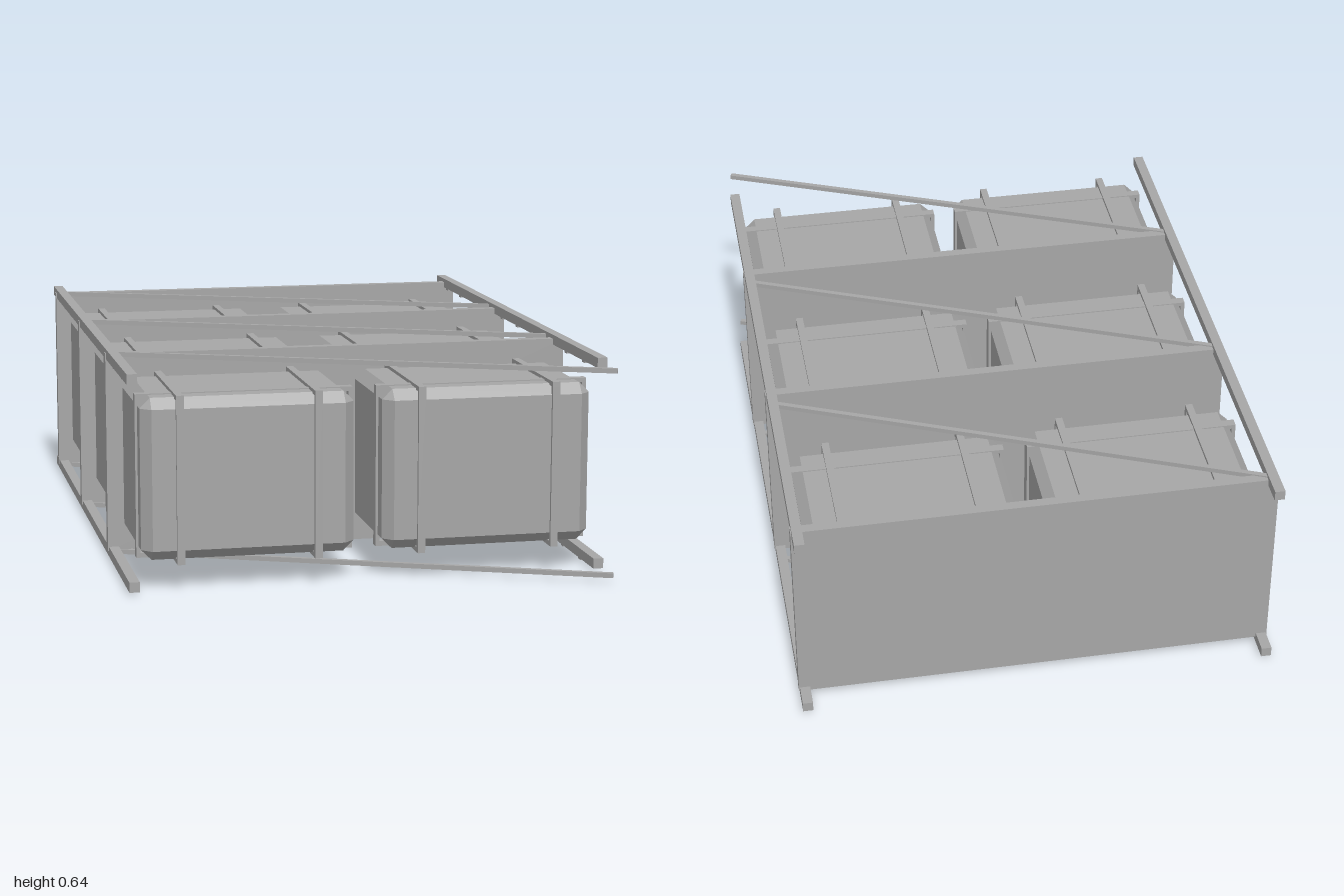
import * as THREE from 'three';
import { ConvexGeometry } from 'three/addons/geometries/ConvexGeometry.js';

const grey = new THREE.MeshStandardMaterial({ color: 0xa6a6a6 });
grey.name = 'grey metal';

// Box given by its minimum and maximum corners
function box(parent, name, [x0, x1], [y0, y1], [z0, z1]) {
  const mesh = new THREE.Mesh(new THREE.BoxGeometry(x1 - x0, y1 - y0, z1 - z0), grey);
  mesh.position.set((x0 + x1) / 2, (y0 + y1) / 2, (z0 + z1) / 2);
  mesh.name = name;
  parent.add(mesh);
  return mesh;
}

// Box with every edge cut by a flat chamfer
function chamferedBox(w, h, d, c) {
  const points = [];
  for (const x of [-1, 1]) for (const y of [-1, 1]) for (const z of [-1, 1]) {
    const [a, b, e] = [w / 2, h / 2, d / 2];
    points.push(
      new THREE.Vector3(x * a, y * (b - c), z * (e - c)),
      new THREE.Vector3(x * (a - c), y * b, z * (e - c)),
      new THREE.Vector3(x * (a - c), y * (b - c), z * e));
  }
  return new ConvexGeometry(points);
}

// Canister, local z = 0 at its supporting panel
function canister() {
  const g = new THREE.Group();
  g.name = 'canister';
  const body = new THREE.Mesh(chamferedBox(0.62, 0.47, 0.41, 0.03), grey);
  body.position.set(0, 0.325, 0.235);
  body.name = 'canisterBody';
  g.add(body);

  // Two strap loops running over the top, front, bottom and back
  for (const x of [-0.2, 0.2]) {
    const w = [x - 0.011, x + 0.011];
    box(g, 'strapTop', w, [0.555, 0.57], [0.025, 0.45]);
    box(g, 'strapBottom', w, [0.08, 0.095], [0.025, 0.45]);
    box(g, 'strapFront', w, [0.095, 0.555], [0.435, 0.45]);
    box(g, 'strapBack', w, [0.095, 0.555], [0.025, 0.04]);
    box(g, 'buckle', [x - 0.026, x + 0.026], [0.066, 0.084], [0.21, 0.31]);
  }

  // Cross strap loop around the sides
  const z = [0.335, 0.362];
  box(g, 'crossStrapTop', [-0.317, 0.317], [0.55, 0.563], z);
  box(g, 'crossStrapBottom', [-0.317, 0.317], [0.086, 0.1], z);
  for (const s of [-1, 1]) {
    const x = [s * 0.317, s * 0.305].sort((p, q) => p - q);
    box(g, 'crossStrapSide', x, [0.1, 0.55], z);
  }

  // Underside handle and plate
  const handle = new THREE.Mesh(chamferedBox(0.165, 0.025, 0.04, 0.006), grey);
  handle.position.set(0, 0.069, 0.23);
  handle.name = 'handle';
  g.add(handle);
  for (const x of [-0.06, 0.06]) box(g, 'handleMount', [x - 0.01, x + 0.01], [0.075, 0.092], [0.215, 0.245]);
  box(g, 'latchPlate', [-0.01, 0.16], [0.072, 0.08], [0.13, 0.175]);
  box(g, 'latchMount', [0.05, 0.1], [0.08, 0.092], [0.14, 0.165]);
  return g;
}

export function createModel() {
  const model = new THREE.Group();
  model.name = 'canisterRack';
  const bays = [-0.915, -0.262, 0.39];

  // Four long rails with small studs beneath
  for (const x of [-0.688, 0.688]) for (const y of [0.008, 0.607]) {
    box(model, 'rail', [x - 0.015, x + 0.015], [y, y + 0.03], [-1, 0.845]);
    for (let i = 0; i < 10; i++) {
      const z = -0.88 + i * 0.175;
      box(model, 'railStud', [x - 0.01, x + 0.01], [y - 0.008, y], [z - 0.012, z + 0.012]);
    }
  }

  for (const z of bays) {
    // Upright panel
    box(model, 'panel', [-0.706, 0.706], [0.025, 0.625], [z - 0.015, z + 0.015]);

    // Canisters side by side
    for (const x of [-0.352, 0.352]) {
      const c = canister();
      c.position.set(x, 0, z);
      model.add(c);
    }

    // Diagonal braces above and below
    for (const y of [0.022, 0.622]) {
      const dx = 1.375, dz = 0.595;
      const brace = new THREE.Mesh(new THREE.BoxGeometry(Math.hypot(dx, dz), 0.014, 0.015), grey);
      brace.position.set(0, y, z + dz / 2);
      brace.rotation.y = -Math.atan2(dz, dx);
      brace.name = 'diagonalBrace';
      model.add(brace);
    }
  }
  return model;
}
